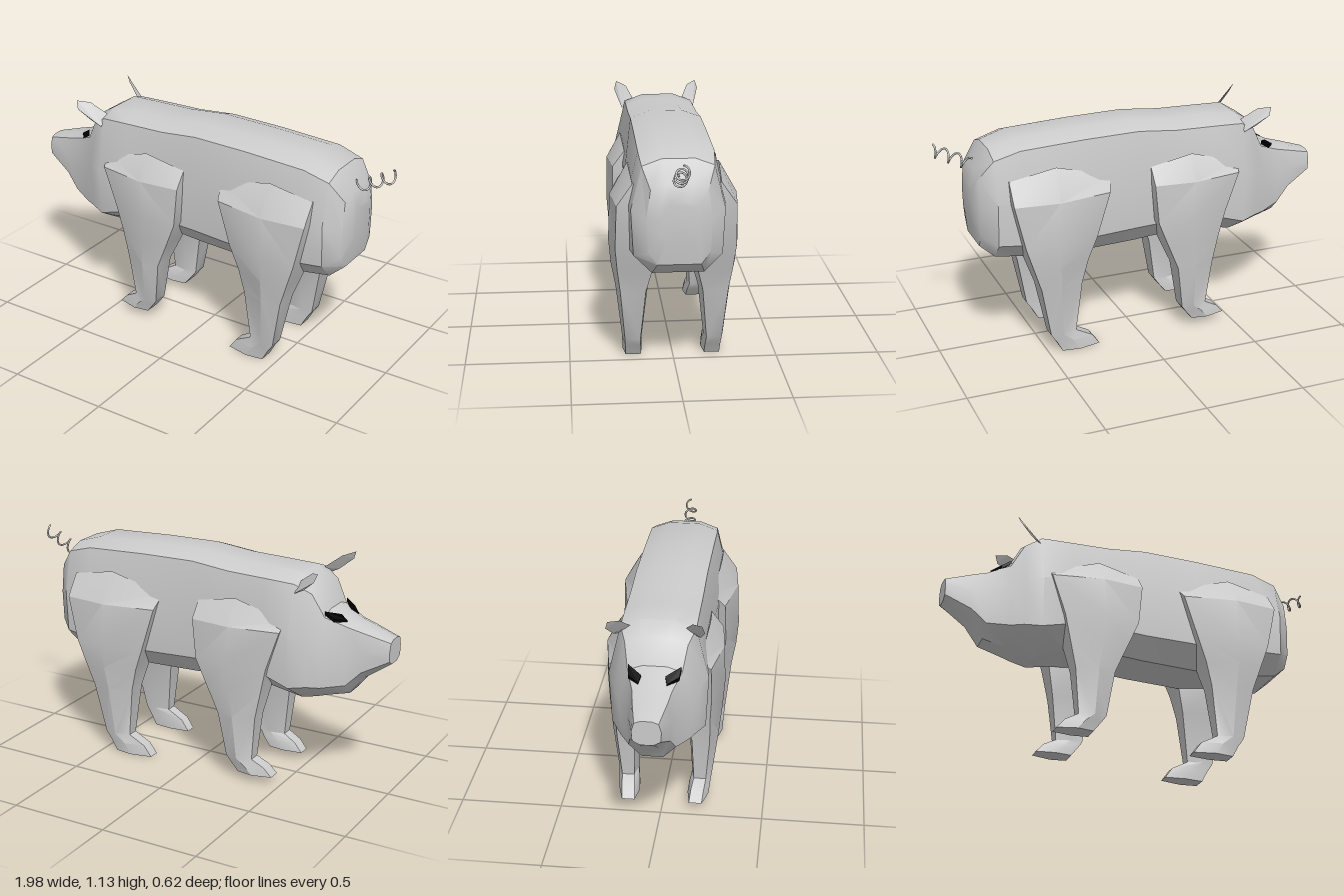
import * as THREE from 'three';
import { toCreasedNormals } from 'three/addons/utils/BufferGeometryUtils.js';
import { ConvexGeometry } from 'three/addons/geometries/ConvexGeometry.js';

const skin = new THREE.MeshStandardMaterial({ color: 0xcccccc, side: THREE.DoubleSide });
const black = new THREE.MeshStandardMaterial({ color: 0x000000 });

// Skin a list of equal-length rings, cap both ends and face the surface outwards
function loft(rings, crease) {
  const n = rings[0].length, pos = rings.flat(2), tri = [];
  for (let r = 0; r < rings.length - 1; r++) {
    for (let i = 0; i < n; i++) {
      const a = r * n + i, b = r * n + (i + 1) % n;
      tri.push([a, b, b + n], [a, b + n, a + n]);
    }
  }
  const last = (rings.length - 1) * n;
  for (let i = 1; i < n - 1; i++) tri.push([0, i + 1, i], [last, last + i, last + i + 1]);
  const p = i => new THREE.Vector3().fromArray(pos, i * 3);
  const volume = tri.reduce((s, [a, b, c]) => s + p(a).dot(p(b).cross(p(c))), 0);
  if (volume < 0) tri.forEach(t => t.reverse());
  const g = new THREE.BufferGeometry();
  g.setAttribute('position', new THREE.Float32BufferAttribute(pos, 3));
  g.setIndex(tri.flat());
  return toCreasedNormals(g, crease);
}

// Ten-sided trunk ring: flat back, sloping shoulders, full flanks, narrow belly
function trunkRing([x, top, bottom, shoulderZ, flankZ, bellyZ]) {
  const h = top - bottom;
  const half = [
    [x, top, shoulderZ * 0.46],
    [x, top - shoulderZ * 0.2, shoulderZ],
    [x, bottom + h * 0.56, flankZ],
    [x, bottom + h * 0.16, flankZ * 0.95],
    [x, bottom, bellyZ],
  ];
  return [...half, ...half.map(([a, y, z]) => [a, y, -z]).reverse()];
}

// Six-sided leg ring, ridged along the outside; the top ring dips at front and back
function legRing([y, front, back, outer, inner], index, side) {
  const mid = front + (back - front) * 0.55, w = outer - inner;
  const yF = index ? y : y - 0.08, yB = index ? y : y - 0.045;
  return [
    [front, yF, (outer - w * 0.25) * side], [mid, y, outer * side],
    [back, yB, (outer - w * 0.12) * side], [back, yB, (inner + w * 0.1) * side],
    [mid, y, inner * side], [front, yF, (inner + w * 0.15) * side],
  ];
}

export function createModel() {
  const model = new THREE.Group();
  const add = (name, geometry, material = skin) => {
    const mesh = new THREE.Mesh(geometry, material);
    mesh.name = name;
    model.add(mesh);
  };

  // Snout, head, barrel and rump: x, top, bottom, half widths of shoulder, flank, belly
  const trunk = [
    [-1, 0.81, 0.69, 0.055, 0.067, 0.03],
    [-0.87, 0.85, 0.6, 0.08, 0.097, 0.04],
    [-0.8, 0.87, 0.51, 0.09, 0.115, 0.05],
    [-0.69, 0.92, 0.48, 0.125, 0.17, 0.055],
    [-0.63, 1.035, 0.46, 0.145, 0.2, 0.055],
    [-0.55, 1.085, 0.44, 0.175, 0.235, 0.055],
    [-0.4, 1.09, 0.49, 0.175, 0.22, 0.1],
    [-0.2, 1.095, 0.505, 0.175, 0.215, 0.12],
    [0, 1.115, 0.49, 0.175, 0.212, 0.12],
    [0.28, 1.11, 0.48, 0.175, 0.225, 0.12],
    [0.6, 1.095, 0.5, 0.175, 0.228, 0.12],
    [0.73, 1.055, 0.52, 0.165, 0.215, 0.12],
    [0.8, 0.955, 0.58, 0.13, 0.15, 0.1],
    [0.82, 0.87, 0.7, 0.085, 0.09, 0.06],
  ];
  add('body', loft(trunk.map(trunkRing), 0.6));

  // Leg rows: y, front x, back x, outer z, inner z
  const legs = {
    frontLeg: [
      [0.945, -0.52, -0.05, 0.215, 0.12],
      [0.82, -0.51, -0.05, 0.285, 0.11],
      [0.62, -0.44, -0.07, 0.29, 0.09],
      [0.49, -0.41, -0.125, 0.28, 0.085],
      [0.35, -0.38, -0.185, 0.265, 0.12],
      [0.12, -0.355, -0.22, 0.235, 0.135],
      [0.085, -0.42, -0.245, 0.23, 0.125],
      [0.04, -0.46, -0.28, 0.225, 0.12],
    ],
    hindLeg: [
      [0.97, 0.16, 0.67, 0.215, 0.12],
      [0.82, 0.18, 0.67, 0.3, 0.11],
      [0.6, 0.25, 0.62, 0.308, 0.095],
      [0.48, 0.295, 0.58, 0.297, 0.085],
      [0.36, 0.325, 0.54, 0.275, 0.12],
      [0.1, 0.355, 0.49, 0.245, 0.15],
      [0.055, 0.27, 0.46, 0.242, 0.147],
      [0, 0.23, 0.43, 0.24, 0.145],
    ],
  };

  for (const side of [1, -1]) {
    for (const [name, rows] of Object.entries(legs)) {
      add(name, loft(rows.map((row, i) => legRing(row, i, side)), 0.5));
    }

    // Pointed ear leaning forwards and outwards
    const solid = points => new ConvexGeometry(
      points.map(([x, y, z]) => new THREE.Vector3(x, y, z * side)));
    add('ear', solid([
      [-0.69, 1.13, 0.213], [-0.675, 1.09, 0.225], [-0.61, 1.035, 0.2],
      [-0.56, 1.01, 0.19], [-0.555, 1.05, 0.125], [-0.64, 1.115, 0.165],
    ]));

    // Thin diamond eye lying on the brow
    const diamond = [[-0.78, 0.873, 0.065], [-0.745, 0.895, 0.055],
      [-0.69, 0.918, 0.122], [-0.735, 0.888, 0.117]];
    add('eye', solid([0.006, -0.012].flatMap(
      lift => diamond.map(([x, y, z]) => [x, y + lift, z]))), black);
  }

  // Corkscrew tail
  const coil = [];
  for (let i = 0; i <= 60; i++) {
    const t = i / 60, a = t * Math.PI * 6;
    coil.push(new THREE.Vector3(
      0.8 + 0.185 * t - 0.012 * Math.cos(a),
      0.965 + 0.095 * t + 0.026 * Math.cos(a),
      0.028 * Math.sin(a)));
  }
  add('tail', new THREE.TubeGeometry(new THREE.CatmullRomCurve3(coil), 120, 0.005, 6));

  return model;
}
